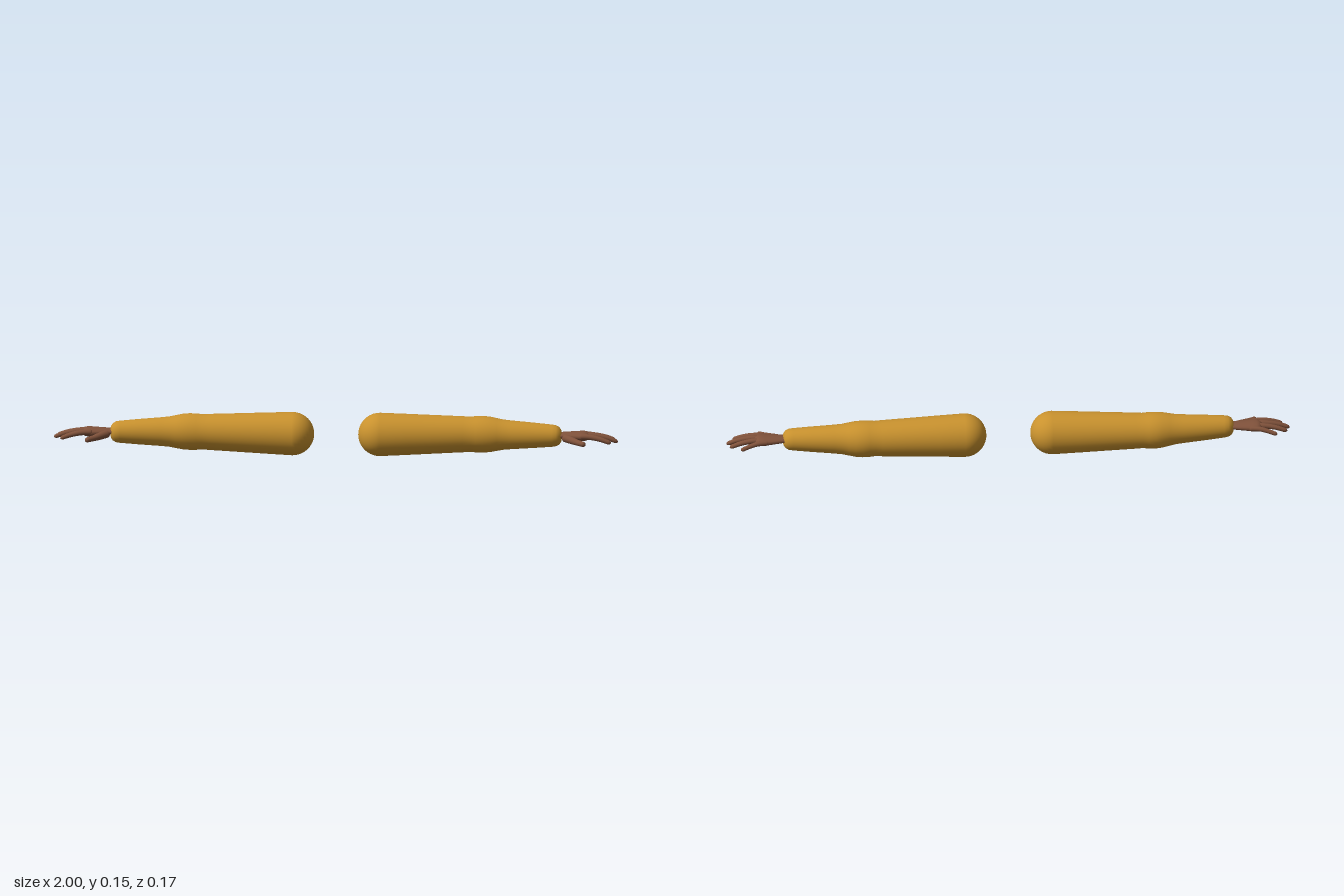
import * as THREE from 'three';
import { mergeVertices } from 'three/addons/utils/BufferGeometryUtils.js';

const V = (p) => new THREE.Vector3(...p);

// Linear interpolation through evenly spaced values
function along(values, u) {
  const f = u * (values.length - 1);
  const i = Math.min(Math.floor(f), values.length - 2);
  return THREE.MathUtils.lerp(values[i], values[i + 1], f - i);
}

// Round-ended tapered tube; flat squashes it in height, cap is the rounded share of each end
function taperedTube(points, radii, flat = 1, cap = 0.1, steps = 28, sides = 16) {
  const curve = new THREE.CatmullRomCurve3(points.map(V));
  const geo = new THREE.TubeGeometry(curve, steps, 1, sides);
  const pos = geo.attributes.position;
  const p = new THREE.Vector3();
  for (let i = 0; i < pos.count; i++) {
    const u = Math.floor(i / (sides + 1)) / steps;
    const c = curve.getPointAt(u);
    const t = Math.max(0, 1 - Math.min(u, 1 - u) / cap);
    const r = along(radii, u) * Math.sqrt(Math.max(0, 1 - t * t));
    p.fromBufferAttribute(pos, i).sub(c).multiplyScalar(r);
    p.y *= flat;
    p.add(c);
    pos.setXYZ(i, p.x, p.y, p.z);
  }
  return smooth(geo);
}

// Weld seams and recompute soft normals
function smooth(geo) {
  geo.deleteAttribute('uv');
  geo.deleteAttribute('normal');
  const welded = mergeVertices(geo, 1e-5);
  welded.computeVertexNormals();
  return welded;
}

// Sleeve: domed shoulder, upper arm, elbow bulge, forearm and rounded cuff
function sleeveGeometry() {
  const profile = [];
  for (let i = 0; i <= 10; i++) {
    const a = (i / 10) * Math.PI / 2;
    profile.push(new THREE.Vector2(0.077 * Math.sin(a), 0.155 - 0.077 * Math.cos(a)));
  }
  const rest = [
    [0.073, 0.25], [0.068, 0.36], [0.064, 0.45], [0.0625, 0.475], [0.0645, 0.495], [0.065, 0.52],
    [0.063, 0.545], [0.058, 0.57], [0.054, 0.59], [0.051, 0.62], [0.045, 0.7], [0.0395, 0.765],
    [0.037, 0.78], [0.031, 0.791], [0.02, 0.798], [0, 0.801],
  ];
  rest.forEach((q) => profile.push(new THREE.Vector2(...q)));
  const geo = new THREE.LatheGeometry(profile, 40);
  geo.rotateZ(-Math.PI / 2);
  // The arm bends slightly back at the elbow
  const pos = geo.attributes.position;
  const lerp = THREE.MathUtils.mapLinear;
  const clamp = THREE.MathUtils.clamp;
  for (let i = 0; i < pos.count; i++) {
    const x = clamp(pos.getX(i), 0.155, 0.79);
    const z = x < 0.52 ? lerp(x, 0.155, 0.52, -0.011, -0.021) : lerp(x, 0.52, 0.79, -0.021, -0.006);
    const y = x < 0.52 ? lerp(x, 0.155, 0.52, 0.077, 0.079) : 0.079;
    pos.setY(i, pos.getY(i) + y);
    pos.setZ(i, pos.getZ(i) + z);
  }
  return smooth(geo);
}

// Each digit: path from knuckle to tip, then radii
const DIGITS = {
  indexFinger: [[[0.86, 0.082, 0.02], [0.9, 0.082, 0.026], [0.94, 0.075, 0.033], [0.976, 0.063, 0.038]], [0.0105, 0.0095, 0.0075]],
  middleFinger: [[[0.86, 0.083, 0.001], [0.91, 0.083, 0.003], [0.96, 0.075, 0.005], [1.0, 0.061, 0.006]], [0.0105, 0.0095, 0.0075]],
  ringFinger: [[[0.86, 0.082, -0.015], [0.905, 0.082, -0.018], [0.95, 0.075, -0.021], [0.99, 0.062, -0.024]], [0.0105, 0.009, 0.0075]],
  littleFinger: [[[0.85, 0.079, -0.03], [0.89, 0.08, -0.039], [0.92, 0.074, -0.046], [0.952, 0.064, -0.055]], [0.01, 0.0085, 0.007]],
  thumb: [[[0.805, 0.076, 0.004], [0.83, 0.072, 0.026], [0.855, 0.068, 0.05], [0.886, 0.065, 0.076]], [0.015, 0.0135, 0.0105, 0.009]],
};

export function createModel() {
  const sleeveMat = new THREE.MeshStandardMaterial({ color: 0xc9922e });
  sleeveMat.name = 'ochre sleeve';
  const skinMat = new THREE.MeshStandardMaterial({ color: 0x80523b });
  skinMat.name = 'brown skin';

  const model = new THREE.Group();
  model.name = 'pairOfArms';

  const sleeve = sleeveGeometry();
  const handParts = {
    palm: taperedTube(
      [[0.765, 0.081, -0.005], [0.81, 0.081, -0.006], [0.86, 0.08, -0.006], [0.903, 0.08, -0.004]],
      [0.024, 0.025, 0.031, 0.037, 0.037], 0.45, 0.18),
  };
  for (const [name, [path, radii]] of Object.entries(DIGITS)) handParts[name] = taperedTube(path, radii);

  // Left arm lies along +x; the right arm is its mirror image
  for (const [side, sx] of [['left', 1], ['right', -1]]) {
    const arm = new THREE.Group();
    arm.name = side + 'Arm';
    arm.scale.x = sx;
    const sleeveMesh = new THREE.Mesh(sleeve, sleeveMat);
    sleeveMesh.name = 'sleeve';
    const hand = new THREE.Group();
    hand.name = 'hand';
    for (const [name, geo] of Object.entries(handParts)) {
      const mesh = new THREE.Mesh(geo, skinMat);
      mesh.name = name;
      hand.add(mesh);
    }
    arm.add(sleeveMesh, hand);
    model.add(arm);
  }
  return model;
}
